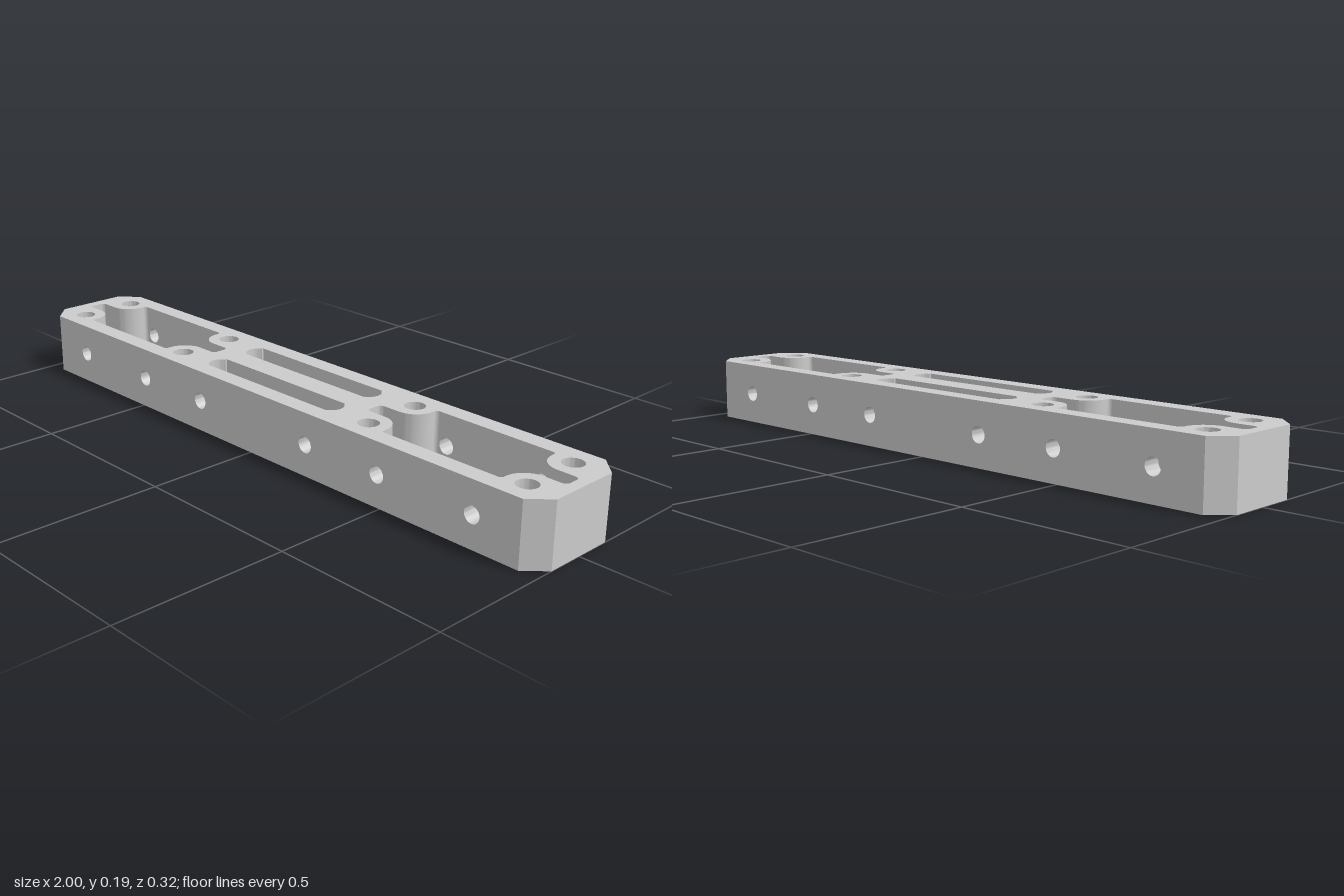
import * as THREE from 'three';
import { mergeGeometries, toCreasedNormals } from 'three/addons/utils/BufferGeometryUtils.js';

const HEIGHT = 0.185, DEPTH = 0.1625, WALL = 0.108, CHAMFER = 0.055;
const BORE_R = 0.024, BORES = [0.222, 0.487, 0.8].flatMap(x => [-x, x]);

const vec = (x, y) => new THREE.Vector2(x, y);
const mirrorX = pts => pts.map(p => vec(-p.x, p.y)).reverse();
const mirrorY = pts => pts.map(p => vec(p.x, -p.y)).reverse();

// Points on an arc, angles in degrees
function arc(cx, cy, r, from, to, n) {
  return Array.from({ length: n + 1 }, (_, i) => {
    const a = THREE.MathUtils.degToRad(from + (to - from) * i / n);
    return vec(cx + r * Math.cos(a), cy + r * Math.sin(a));
  });
}

// Plan contours: the outline runs counter-clockwise, the openings clockwise
function outlineContour() {
  const e = 1 - CHAMFER, d = DEPTH - CHAMFER;
  return [vec(-e, -DEPTH), vec(e, -DEPTH), vec(1, -d), vec(1, d),
    vec(e, DEPTH), vec(-e, DEPTH), vec(-1, d), vec(-1, -d)];
}

// Pocket with a rounded boss around each bolt and a narrow slot at both ends
function pocketContour() {
  const upper = [
    ...arc(0.334, 0.013, 0.014, 180, 90, 5),
    ...arc(0.387, 0.09, 0.063, -90, 0, 12),
    ...arc(0.46, WALL - 0.01, 0.01, 180, 90, 5),
    ...arc(0.829, WALL - 0.01, 0.01, 90, 0, 5),
    ...arc(0.902, 0.09, 0.063, 180, 270, 12),
    ...arc(0.953, 0.013, 0.014, 90, 0, 5)
  ];
  return [...upper, ...mirrorY(upper)];
}

// Long middle slot with rounded ends
function slotContour(sign) {
  const r = 0.0355, cy = WALL - r;
  const end = [vec(0.248, WALL), ...arc(0.2315, cy, r, 60, -60, 12), vec(0.248, WALL - 2 * r)];
  const slot = [...end, ...mirrorX(end)];
  return sign > 0 ? slot : mirrorY(slot);
}

// Upright wall panel over one contour segment, pierced where side bores meet it
function wallPanel(a, b) {
  const length = a.distanceTo(b);
  const panel = new THREE.Shape([vec(0, 0), vec(length, 0), vec(length, HEIGHT), vec(0, HEIGHT)]);
  if (Math.abs(a.y) > 0.1 && Math.abs(a.y - b.y) < 1e-6) {
    for (const x of BORES) {
      if (x > Math.min(a.x, b.x) && x < Math.max(a.x, b.x)) {
        panel.holes.push(new THREE.Path(arc(Math.abs(x - a.x), HEIGHT / 2, BORE_R, 360, 15, 23)));
      }
    }
  }
  return new THREE.ShapeGeometry(panel)
    .rotateY(Math.atan2(b.y - a.y, b.x - a.x))
    .translate(a.x, 0, -a.y);
}

const contourWalls = pts => pts.map((p, i) => wallPanel(p, pts[(i + 1) % pts.length]));

export function createModel() {
  const group = new THREE.Group();
  group.name = 'mountingRail';
  const material = new THREE.MeshStandardMaterial({ color: 0xcccccc });
  const add = (name, geometry) => {
    const mesh = new THREE.Mesh(toCreasedNormals(geometry, 0.6), material);
    mesh.name = name;
    group.add(mesh);
  };

  const outline = outlineContour();
  const pocket = pocketContour();
  const openings = [pocket, mirrorX(pocket), slotContour(1), slotContour(-1)];

  // Vertical bolt holes
  const boltHoles = [];
  for (const x of [-0.902, -0.387, 0.387, 0.902]) {
    for (const y of [-0.09, 0.09]) boltHoles.push(arc(x, y, 0.03, 360, 11.25, 31));
  }

  // Top and bottom faces
  const plan = new THREE.Shape(outline);
  plan.holes = [...openings, ...boltHoles].map(pts => new THREE.Path(pts));
  add('topFace', new THREE.ShapeGeometry(plan).rotateX(-Math.PI / 2).translate(0, HEIGHT, 0));
  add('bottomFace', new THREE.ShapeGeometry(plan).rotateX(Math.PI / 2));

  // Walls of the outline, pockets, slots and bolt holes
  add('outerWalls', mergeGeometries(contourWalls(outline)));
  add('openingWalls', mergeGeometries(openings.flatMap(contourWalls)));
  add('boltHoles', mergeGeometries(boltHoles.flatMap(contourWalls)));

  // Horizontal bores through the front and back walls, mirrored to face inward
  const bores = [];
  for (const x of BORES) {
    for (const side of [-1, 1]) {
      const bore = new THREE.CylinderGeometry(BORE_R, BORE_R, DEPTH - WALL, 24, 1, true);
      const index = Array.from(bore.index.array).reverse();
      bore.setIndex(index);
      bores.push(bore.rotateX(Math.PI / 2).translate(x, HEIGHT / 2, side * (DEPTH + WALL) / 2));
    }
  }
  add('sideBores', mergeGeometries(bores));

  return group;
}
